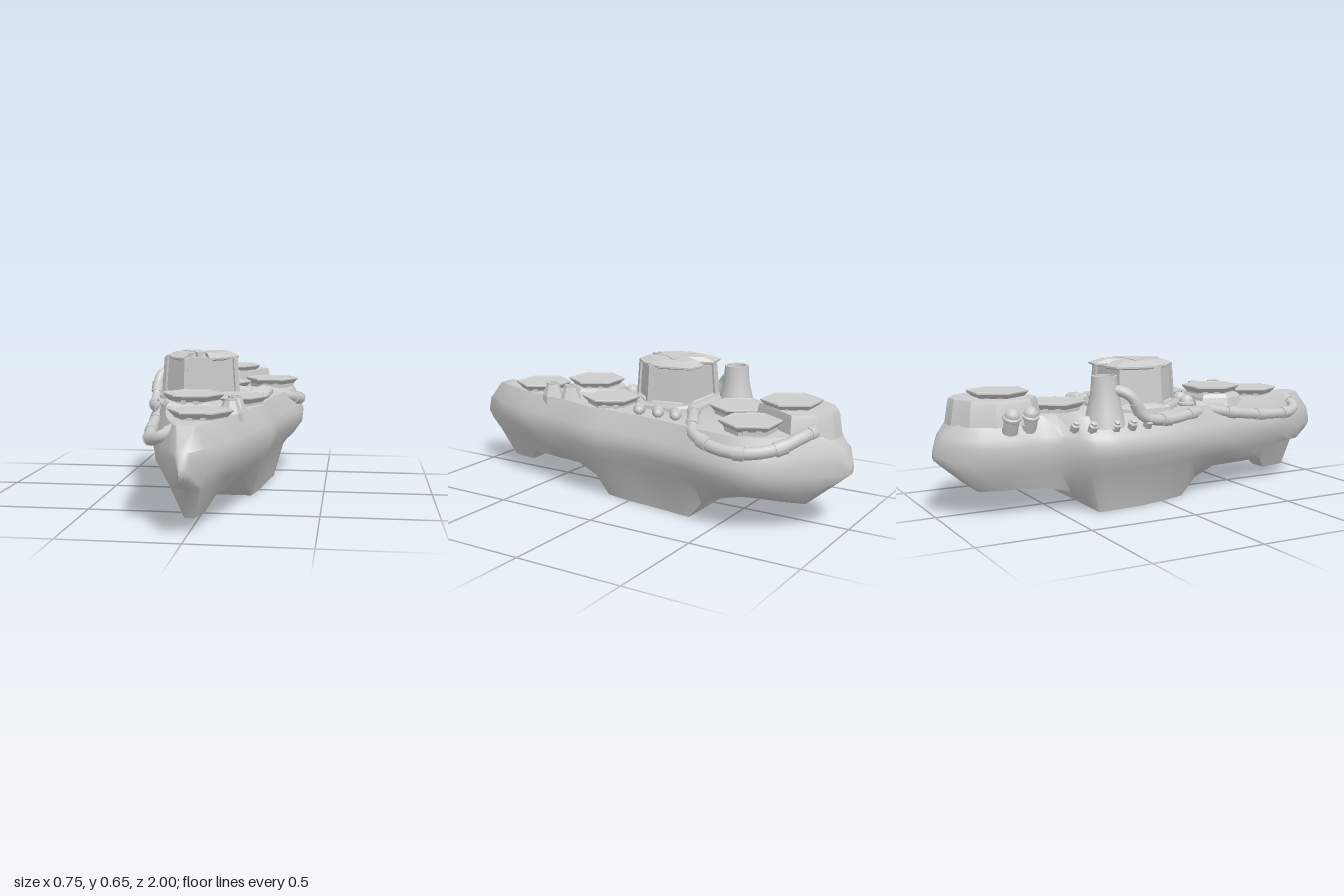
import * as THREE from 'three';
import { toCreasedNormals } from 'three/addons/utils/BufferGeometryUtils.js';

const material = new THREE.MeshStandardMaterial({ color: 0xcccccc, side: THREE.DoubleSide });
const V = (x, y, z) => new THREE.Vector3(x, y, z);

// Capped skin over a list of rings with equal point counts
function loft(rings, crease = 0.3) {
  const pos = [];
  const tri = (...p) => p.forEach((v) => pos.push(v.x, v.y, v.z));
  const n = rings[0].length;
  for (let r = 0; r < rings.length - 1; r++) {
    const a = rings[r], b = rings[r + 1];
    for (let i = 0; i < n; i++) {
      const j = (i + 1) % n;
      tri(a[i], a[j], b[j]);
      tri(a[i], b[j], b[i]);
    }
  }
  const cap = (ring, flip) => {
    const c = ring.reduce((s, p) => s.add(p), V(0, 0, 0)).divideScalar(n);
    for (let i = 0; i < n; i++) {
      const p = ring[i], q = ring[(i + 1) % n];
      if (flip) tri(c, q, p); else tri(c, p, q);
    }
  };
  cap(rings[0], true);
  cap(rings[rings.length - 1], false);
  const g = new THREE.BufferGeometry();
  g.setAttribute('position', new THREE.Float32BufferAttribute(pos, 3));
  return toCreasedNormals(g, crease);
}

// Upright block: [x, z] outline repeated at [height, scale] levels about a centre
const stack = (outline, levels, cx, cz) => loft(levels.map(([y, s]) =>
  outline.map(([x, z]) => V(cx + (x - cx) * s, y, cz + (z - cz) * s))));

// Turned part; few sides stay faceted
function lathe(profile, sides) {
  const g = new THREE.LatheGeometry(profile.map(([r, y]) => new THREE.Vector2(r, y)), sides);
  return toCreasedNormals(g, sides > 8 ? 0.6 : 0.2);
}

export function createModel() {
  const model = new THREE.Group();
  const add = (name, geometry, x = 0, y = 0, z = 0, parent = model) => {
    const m = new THREE.Mesh(geometry, material);
    m.name = name;
    m.position.set(x, y, z);
    parent.add(m);
    return m;
  };

  // Hull stations: z, right-hand (-x) beam, left-hand (+x) beam, deck y, bottom y, bottom half width
  const stations = [
    [1.0, 0.012, 0.012, 0.29, 0.25, 0.005], [0.97, 0.03, 0.03, 0.35, 0.225, 0.008],
    [0.89, 0.075, 0.075, 0.43, 0.18, 0.008], [0.82, 0.115, 0.11, 0.43, 0.055, 0.02],
    [0.69, 0.16, 0.16, 0.43, 0.055, 0.045], [0.64, 0.175, 0.175, 0.43, 0.112, 0.08],
    [0.5, 0.205, 0.2, 0.43, 0.115, 0.11], [0.33, 0.25, 0.235, 0.43, 0.115, 0.13],
    [0.22, 0.28, 0.27, 0.43, 0.075, 0.145], [0.13, 0.305, 0.28, 0.43, 0, 0.17],
    [0, 0.34, 0.283, 0.43, 0, 0.215], [-0.12, 0.36, 0.295, 0.43, 0, 0.245],
    [-0.3, 0.373, 0.325, 0.43, 0, 0.262], [-0.345, 0.37, 0.335, 0.43, 0, 0.255],
    [-0.4, 0.355, 0.348, 0.43, 0.07, 0.22], [-0.45, 0.31, 0.358, 0.43, 0.09, 0.19],
    [-0.5, 0.235, 0.364, 0.43, 0.1, 0.17], [-0.56, 0.205, 0.37, 0.43, 0.11, 0.15],
    [-0.66, 0.2, 0.365, 0.43, 0.115, 0.14], [-0.74, 0.2, 0.32, 0.43, 0.115, 0.13],
    [-0.84, 0.175, 0.22, 0.43, 0.115, 0.1], [-0.9, 0.135, 0.15, 0.42, 0.165, 0.07],
    [-0.96, 0.085, 0.085, 0.37, 0.215, 0.04], [-1.0, 0.02, 0.02, 0.29, 0.25, 0.005],
  ];
  add('hull', loft(stations.map(([z, wr, wl, yd, yb, wb]) => {
    const side = (w, s) => {
      const chine = Math.max(0.19, yb + 0.006), low = Math.max(0.255, chine + 0.004);
      const inset = s < 0 && z < -0.05 && z > -0.52 ? 0.085 : 0.05;
      return [
        [w - Math.min(inset, w * 0.5), yd],
        [w * 0.965, Math.min(0.345, yd - 0.008)],
        [w, Math.min(0.31, yd - 0.016)],
        [w * 0.985, Math.min(low, yd - 0.024)],
        [Math.max(w * (z > 0.6 ? 0.72 : 0.86), wb), chine],
        [Math.min(wb, w * 0.7), yb],
      ].map(([x, y]) => V(s * x, y, z));
    };
    return [...side(wl, 1), ...side(wr, -1).reverse()];
  }), 0.9));

  // Raised decks
  add('sternDeck', stack([[-0.1, -0.56], [0.03, -0.57], [0.17, -0.79], [0.11, -0.88], [0.04, -0.92],
    [-0.04, -0.92], [-0.12, -0.87], [-0.175, -0.78], [-0.175, -0.62]],
  [[0.4, 1.08], [0.49, 1], [0.51, 0.96]], 0, -0.74));
  add('foreDeck', stack([[-0.16, 0.46], [0.03, 0.46], [0.08, 0.36], [0.03, 0.25], [-0.16, 0.25], [-0.2, 0.36]],
    [[0.4, 1.1], [0.45, 1], [0.467, 0.9]], -0.06, 0.355));
  add('bridgeDeck', stack([[-0.15, 0.13], [-0.03, 0.13], [0.11, 0], [0.11, -0.2], [0.03, -0.27], [-0.2, -0.27],
    [-0.29, -0.18], [-0.28, 0]], [[0.4, 1.03], [0.445, 1], [0.455, 0.96]], -0.09, -0.08));

  // Hexagonal hatches: flared rim, recessed lid, paired clips under alternate edges
  [[0.015, 0.425, 0.63], [-0.06, 0.46, 0.355], [0.11, 0.43, 0.15],
    [-0.03, 0.435, -0.45], [0.2, 0.438, -0.62], [-0.01, 0.497, -0.71]].forEach(([x, y, z]) => {
    const hatch = new THREE.Group();
    hatch.name = 'hexHatch';
    hatch.position.set(x, y, z);
    model.add(hatch);
    const body = add('hatchBody', lathe([[0.112, -0.03], [0.112, 0.01], [0.136, 0.032], [0.136, 0.038], [0.13, 0.041],
      [0.122, 0.037], [0, 0.037]], 6), 0, 0, 0, hatch);
    body.rotation.y = Math.PI / 6;
    for (let i = 0; i < 3; i++) {
      const pivot = new THREE.Group();
      pivot.rotation.y = i * Math.PI * 2 / 3;
      hatch.add(pivot);
      for (const s of [-0.027, 0.027]) {
        add('hatchClip', new THREE.BoxGeometry(0.022, 0.016, 0.02), s, 0.008, 0.1, pivot);
      }
    }
  });

  // Bridge tower: recessed walls between tapered corner pillars
  const tower = [[-0.15, 0.1], [-0.03, 0.1], [0.098, -0.04], [0.055, -0.235], [-0.235, -0.235], [-0.278, -0.04]];
  const cx = -0.09, cz = -0.07;
  add('bridgeWalls', stack(tower, [[0.44, 0.93], [0.63, 0.86]], cx, cz));
  add('bridgeSill', stack(tower, [[0.44, 1.04], [0.46, 1.01], [0.465, 0.92]], cx, cz));
  tower.forEach((p, i) => {
    const toward = (q, t) => [p[0] + (q[0] - p[0]) * t, p[1] + (q[1] - p[1]) * t];
    const before = toward(tower[(i + 5) % 6], 0.14), after = toward(tower[(i + 1) % 6], 0.14);
    const inner = toward([cx, cz], 0.2);
    add('bridgePillar', loft([[0.45, 1], [0.625, 0.93]].map(([y, s]) => [before, p, after, inner]
      .map(([x, z]) => V(cx + (x - cx) * s, y, cz + (z - cz) * s)))));
  });

  // Notched roof with a three-armed cap
  const roof = [[-0.15, 0.085], [-0.12, 0.01], [-0.06, 0.01], [-0.03, 0.085], [0.035, 0.02], [0.085, -0.09],
    [0.05, -0.24], [-0.04, -0.255], [-0.09, -0.17], [-0.14, -0.255], [-0.23, -0.24], [-0.265, -0.09],
    [-0.215, 0.02]];
  add('bridgeRoof', stack(roof, [[0.614, 0.92], [0.62, 1], [0.628, 1], [0.648, 0.72]], cx, cz));
  const star = Array.from({ length: 6 }, (_, i) => {
    const a = i * Math.PI / 3, r = i % 2 ? 0.045 : 0.13;
    return [cx + r * Math.sin(a), cz + r * Math.cos(a)];
  });
  add('roofCap', stack(star, [[0.625, 1], [0.651, 0.9]], cx, cz));

  // Funnel, open at the top
  add('funnel', lathe([[0.095, 0.38], [0.078, 0.45], [0.06, 0.53], [0.056, 0.6], [0.044, 0.6],
    [0.04, 0.55], [0, 0.55]], 16), -0.255, 0, -0.315);

  // Fore vents
  [[0.125, 0.38], [0.12, 0.49]].forEach(([x, z]) => add('vent', lathe([[0.052, 0.38], [0.05, 0.43],
    [0.03, 0.485], [0.03, 0.492], [0.02, 0.492], [0.018, 0.46], [0, 0.46]], 8), x, 0, z));

  // Domed tanks by the bridge and at the stern quarter
  const tank = () => lathe([[0.034, -0.06], [0.034, 0], [0.039, 0.004], [0.039, 0.014], [0.033, 0.018],
    [0.03, 0.034], [0.018, 0.046], [0, 0.05]], 12);
  [[-0.19, 0.43, 0.14, 0], [-0.09, 0.43, 0.165, 0], [-0.195, 0.43, -0.72, 0.4], [-0.18, 0.43, -0.63, 0.4],
  ].forEach(([x, y, z, tilt]) => { add('tank', tank(), x, y, z).rotation.z = tilt; });

  // Bollards leaning out along the right-hand sponson
  [[-0.265, -0.46], [-0.315, -0.4], [-0.335, -0.3], [-0.335, -0.22], [-0.328, -0.14]].forEach(([x, z]) => {
    add('bollard', lathe([[0.022, -0.02], [0.022, 0.012], [0.014, 0.018], [0.014, 0.026], [0, 0.03]], 6),
      x, 0.39, z).rotation.z = 0.6;
  });

  // Bars laid between two points
  const bar = (name, a, b, r) => {
    const m = add(name, new THREE.CapsuleGeometry(r, a.distanceTo(b), 4, 10));
    m.position.lerpVectors(a, b, 0.5);
    m.quaternion.setFromUnitVectors(V(0, 1, 0), b.clone().sub(a).normalize());
  };
  [-0.22, -0.13, -0.03].forEach((z) => {
    bar('gasBottle', V(0.15, 0.447, z), V(0.215, 0.447, z - 0.04), 0.022);
    bar('bottleStrap', V(0.18, 0.445, z - 0.02), V(0.19, 0.445, z - 0.026), 0.028);
  });

  // Deck pipes with collars
  const pipe = (name, points, r) => {
    const curve = new THREE.CatmullRomCurve3(points.map((p) => V(...p)), false, 'centripetal');
    add(name, new THREE.TubeGeometry(curve, 48, r, 10));
    const count = Math.round(curve.getLength() / 0.19);
    for (let i = 0; i <= count; i++) {
      const t = i / count;
      const c = add('pipeCollar', new THREE.CylinderGeometry(r * 1.18, r * 1.18, 0.05, 10));
      c.position.copy(curve.getPointAt(t));
      c.quaternion.setFromUnitVectors(V(0, 1, 0), curve.getTangentAt(t));
    }
  };
  pipe('sternPipe', [[0.11, 0.435, -0.86], [0.18, 0.425, -0.84], [0.26, 0.39, -0.78], [0.335, 0.37, -0.67],
    [0.345, 0.375, -0.53], [0.295, 0.405, -0.4], [0.2, 0.425, -0.34], [0.07, 0.435, -0.27]], 0.027);
  pipe('bowPipe', [[-0.07, 0.4, 0.8], [-0.12, 0.375, 0.81], [-0.165, 0.355, 0.76], [-0.2, 0.355, 0.6],
    [-0.22, 0.375, 0.43], [-0.215, 0.4, 0.28], [-0.2, 0.42, 0.2]], 0.024);
  pipe('funnelPipe', [[-0.13, 0.42, 0.2], [-0.21, 0.405, 0.2], [-0.27, 0.4, 0.1], [-0.315, 0.395, -0.04],
    [-0.33, 0.42, -0.16], [-0.325, 0.51, -0.22], [-0.3, 0.535, -0.26], [-0.26, 0.54, -0.31]], 0.024);

  return model;
}
